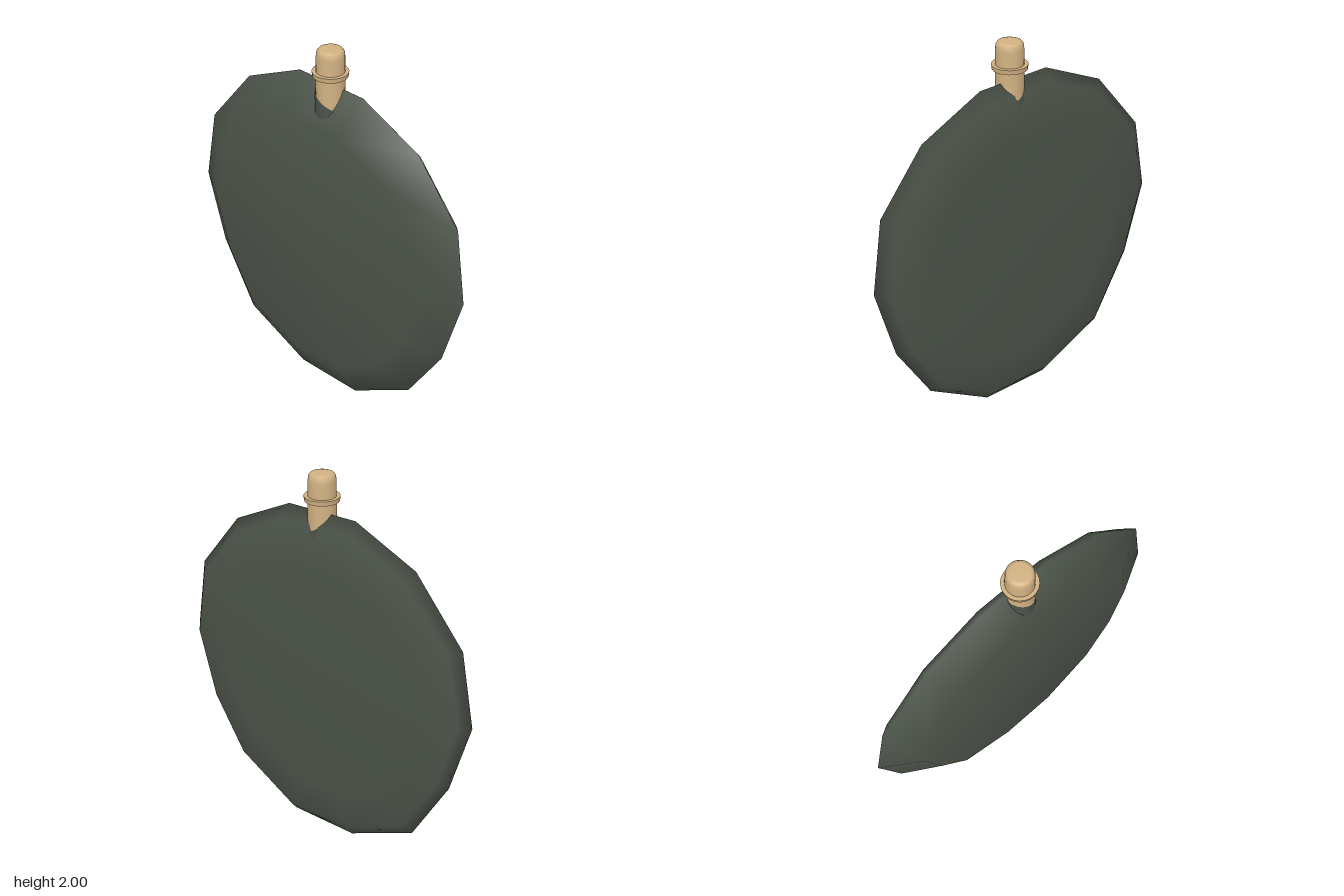
import * as THREE from 'three';

const mat = (name, color, side = THREE.FrontSide) => {
  const m = new THREE.MeshStandardMaterial({ color, side });
  m.name = name;
  return m;
};

// Uneven fourteen-sided outline, clockwise from the top left
const OUTLINE = [
  [-0.18, 1.81], [0.23, 1.80], [0.58, 1.63], [0.83, 1.32], [0.89, 0.93], [0.78, 0.54], [0.58, 0.22],
  [0.21, 0], [-0.18, 0], [-0.57, 0.18], [-0.78, 0.54], [-0.895, 0.93], [-0.82, 1.32], [-0.54, 1.65],
];
const CENTRE_Y = 0.91;

// Flat body: scaled copies of the outline joined from back to front
function bodyGeometry() {
  const rings = [
    { s: 0.69, z: -0.10 },
    { s: 0.935, z: -0.07 },
    { s: 1, z: -0.02, lean: 0.016 },
    { s: 0.775, z: 0.10 },
  ];
  const n = OUTLINE.length, pos = [], idx = [];
  for (const { s, z, lean = 0 } of rings)
    for (const [x, y] of OUTLINE) pos.push(x * s, CENTRE_Y + (y - CENTRE_Y) * s, z + lean * x);
  const back = n * rings.length, front = back + 1, last = n * (rings.length - 1);
  pos.push(0, CENTRE_Y, -0.10, 0, CENTRE_Y, 0.10);
  for (let i = 0; i < n; i++) {
    const j = (i + 1) % n;
    for (let r = 0; r < rings.length - 1; r++) {
      const a = r * n + i, b = r * n + j;
      idx.push(a, a + n, b, b, a + n, b + n);
    }
    idx.push(back, i, j, front, last + j, last + i);
  }
  const g = new THREE.BufferGeometry();
  g.setAttribute('position', new THREE.Float32BufferAttribute(pos, 3));
  g.setIndex(idx);
  g.computeVertexNormals();
  return g;
}

// Short neck whose top lip is cut at a slant, higher on the right
function neckGeometry() {
  const g = new THREE.CylinderGeometry(0.075, 0.075, 0.2, 24, 1, true);
  const p = g.attributes.position;
  for (let i = 0; i < p.count; i++) {
    const top = p.getY(i) > 0;
    p.setY(i, top ? 1.735 - 0.6 * p.getX(i) + 0.15 * p.getZ(i) : 1.6);
  }
  return g;
}

export function createModel() {
  const model = new THREE.Group();
  model.name = 'flask';
  const green = mat('dark green', 0x4c544a);
  const greenOpen = mat('dark green neck', 0x4c544a, THREE.DoubleSide);
  const tan = mat('cork tan', 0xd2b283);

  const add = (name, geometry, material, parent = model) => {
    const mesh = new THREE.Mesh(geometry, material);
    mesh.name = name;
    parent.add(mesh);
    return mesh;
  };

  add('body', bodyGeometry(), green);

  // Neck and stopper sit slightly off centre
  const top = new THREE.Group();
  top.name = 'neckAndStopper';
  top.position.set(0.035, 0, -0.004);
  model.add(top);
  add('neck', neckGeometry(), greenOpen, top);

  const lathe = (pts) => new THREE.LatheGeometry(pts.map(([r, y]) => new THREE.Vector2(r, y)), 24);
  add('stopperShaft', lathe([[0.071, 1.62], [0.072, 1.87]]), tan, top);
  add('stopperFlange', new THREE.CylinderGeometry(0.09, 0.087, 0.024, 24).translate(0, 1.872, 0), tan, top);
  add('stopperCap', lathe([
    [0.071, 1.88], [0.07, 1.96], [0.067, 1.985], [0.058, 1.997], [0.045, 2], [0, 2],
  ]), tan, top);

  return model;
}
